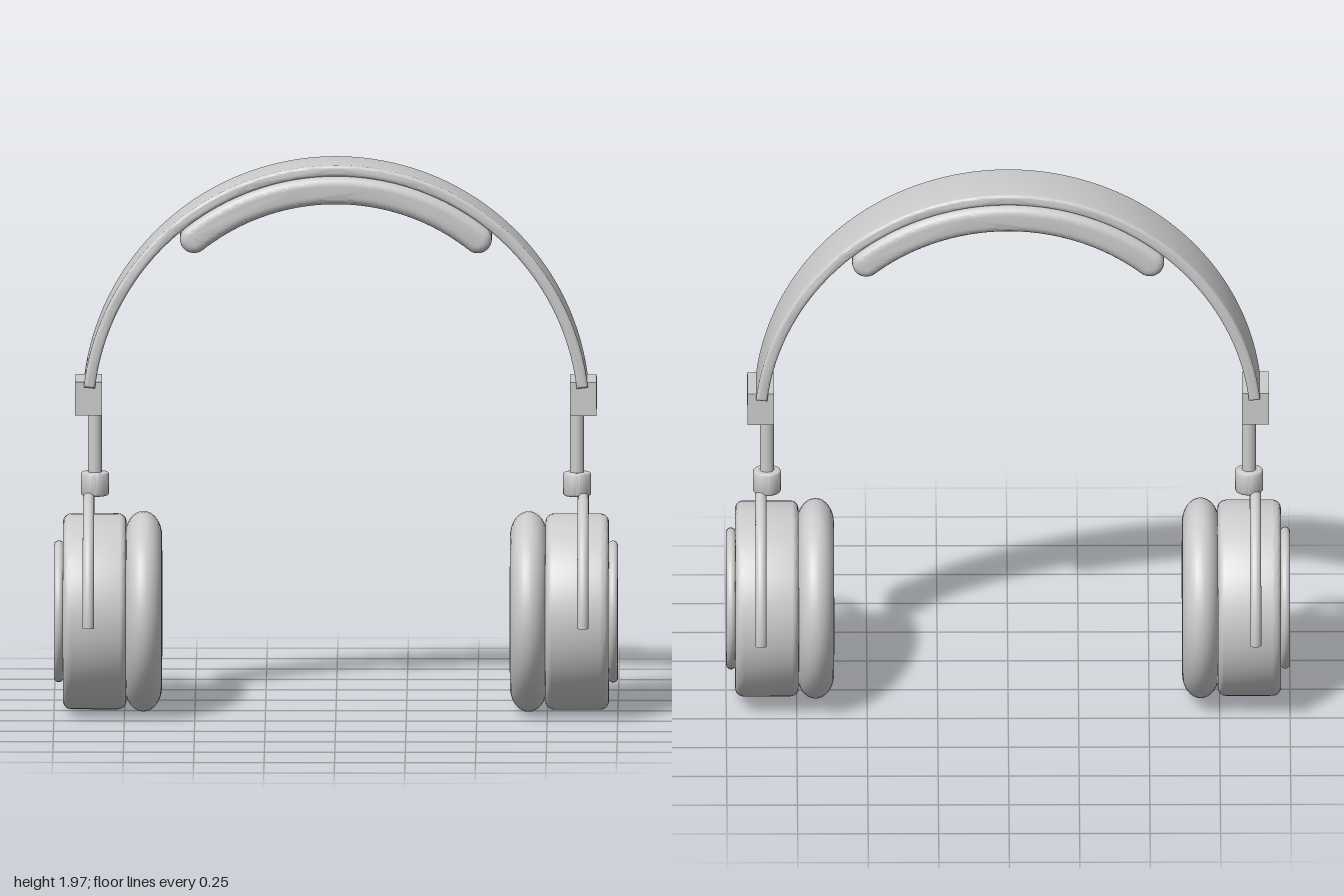
import * as THREE from 'three';
import { toCreasedNormals } from 'three/addons/utils/BufferGeometryUtils.js';

const material = new THREE.MeshStandardMaterial({ color: 0xcccccc });
const ARC_Y = 1.08; // centre height of the headband arc
const CUP_Y = 0.364; // centre height of the ear cups

function add(parent, name, geometry, x = 0, y = 0, z = 0) {
  const mesh = new THREE.Mesh(geometry, material);
  mesh.name = name;
  mesh.position.set(x, y, z);
  parent.add(mesh);
  return mesh;
}

// Arc-shaped slab in the xy plane, centred on z, with rounded edges
function arcSlab(shape, width, bevel) {
  const geometry = new THREE.ExtrudeGeometry(shape, {
    depth: width - 2 * bevel, curveSegments: 64, bevelSegments: 5,
    bevelSize: bevel, bevelThickness: bevel, bevelOffset: -bevel,
  });
  geometry.translate(0, 0, -width / 2 + bevel);
  return toCreasedNormals(geometry, 0.6);
}

// Solid of revolution with rounded rims, running from y = 0 to y = height
function roundedDrum(radius, height, round) {
  const points = [new THREE.Vector2(0, 0)];
  for (const [cy, start] of [[round, -Math.PI / 2], [height - round, 0]]) {
    for (let i = 0; i <= 6; i++) {
      const a = start + (i / 6) * Math.PI / 2;
      points.push(new THREE.Vector2(radius - round + Math.cos(a) * round, cy + Math.sin(a) * round));
    }
  }
  points.push(new THREE.Vector2(0, height));
  return toCreasedNormals(new THREE.LatheGeometry(points, 64), 0.6);
}

// Turns a geometry's y axis to +x
const alongX = (geometry) => geometry.rotateZ(-Math.PI / 2);

function headband() {
  const shape = new THREE.Shape();
  const a = 0.115;
  shape.absarc(0, 0, 0.9, a, Math.PI - a, false);
  shape.absarc(0, 0, 0.86, Math.PI - a, a, true);
  shape.closePath();
  return arcSlab(shape, 0.24, 0.012);
}

function headPad() {
  const shape = new THREE.Shape();
  const mid = 0.81, r = 0.05, half = 0.67;
  const a0 = Math.PI / 2 - half, a1 = Math.PI / 2 + half;
  shape.absarc(0, 0, mid + r, a0, a1, false);
  shape.absarc(mid * Math.cos(a1), mid * Math.sin(a1), r, a1, a1 + Math.PI, false);
  shape.absarc(0, 0, mid - r, a1, a0, true);
  shape.absarc(mid * Math.cos(a0), mid * Math.sin(a0), r, a0 + Math.PI, a0 + 2 * Math.PI, false);
  return arcSlab(shape, 0.276, 0.03);
}

// Everything below the band on the +x side
function earSide(name) {
  const side = new THREE.Group();
  side.name = name;

  // Slider
  add(side, 'sliderBlock', new THREE.BoxGeometry(0.095, 0.12, 0.19), 0.877, 1.14);
  add(side, 'sliderRod', new THREE.CylinderGeometry(0.025, 0.025, 0.28, 32), 0.855, 0.96);
  add(side, 'collar', roundedDrum(0.05, 0.085, 0.01), 0.855, 0.78);

  // Half-ring yoke with closed ends
  const yokeRadius = 0.413, yokeTube = 0.02, yokeX = 0.877;
  const yoke = new THREE.TorusGeometry(yokeRadius, yokeTube, 20, 64, Math.PI).rotateY(Math.PI / 2);
  add(side, 'yoke', yoke, yokeX, CUP_Y);
  for (const s of [-1, 1]) {
    const cap = new THREE.CircleGeometry(yokeTube, 20).rotateX(Math.PI / 2);
    add(side, 'yokeEnd', cap, yokeX, CUP_Y, s * yokeRadius);
  }

  // Ear cup with outer trim
  add(side, 'earCup', alongX(roundedDrum(0.348, 0.225, 0.03)), 0.743, CUP_Y);
  const trim = new THREE.TorusGeometry(0.235, 0.017, 20, 64).rotateY(Math.PI / 2);
  add(side, 'trimRing', trim, 0.983, CUP_Y);
  add(side, 'outerPlate', alongX(new THREE.CylinderGeometry(0.235, 0.235, 0.03, 64)), 0.973, CUP_Y);

  // Ear cushion and speaker cover
  const cushion = new THREE.TorusGeometry(0.268, 0.088, 32, 64).scale(1, 1, 0.75).rotateY(Math.PI / 2);
  add(side, 'cushion', cushion, 0.683, CUP_Y);
  add(side, 'speakerCover', alongX(new THREE.CylinderGeometry(0.2, 0.2, 0.06, 64)), 0.73, CUP_Y);
  return side;
}

export function createModel() {
  const model = new THREE.Group();
  model.name = 'headphones';
  add(model, 'headband', headband(), 0, ARC_Y);
  add(model, 'headPad', headPad(), 0, ARC_Y);
  const right = earSide('rightSide');
  right.rotation.y = Math.PI;
  model.add(earSide('leftSide'), right);
  return model;
}
